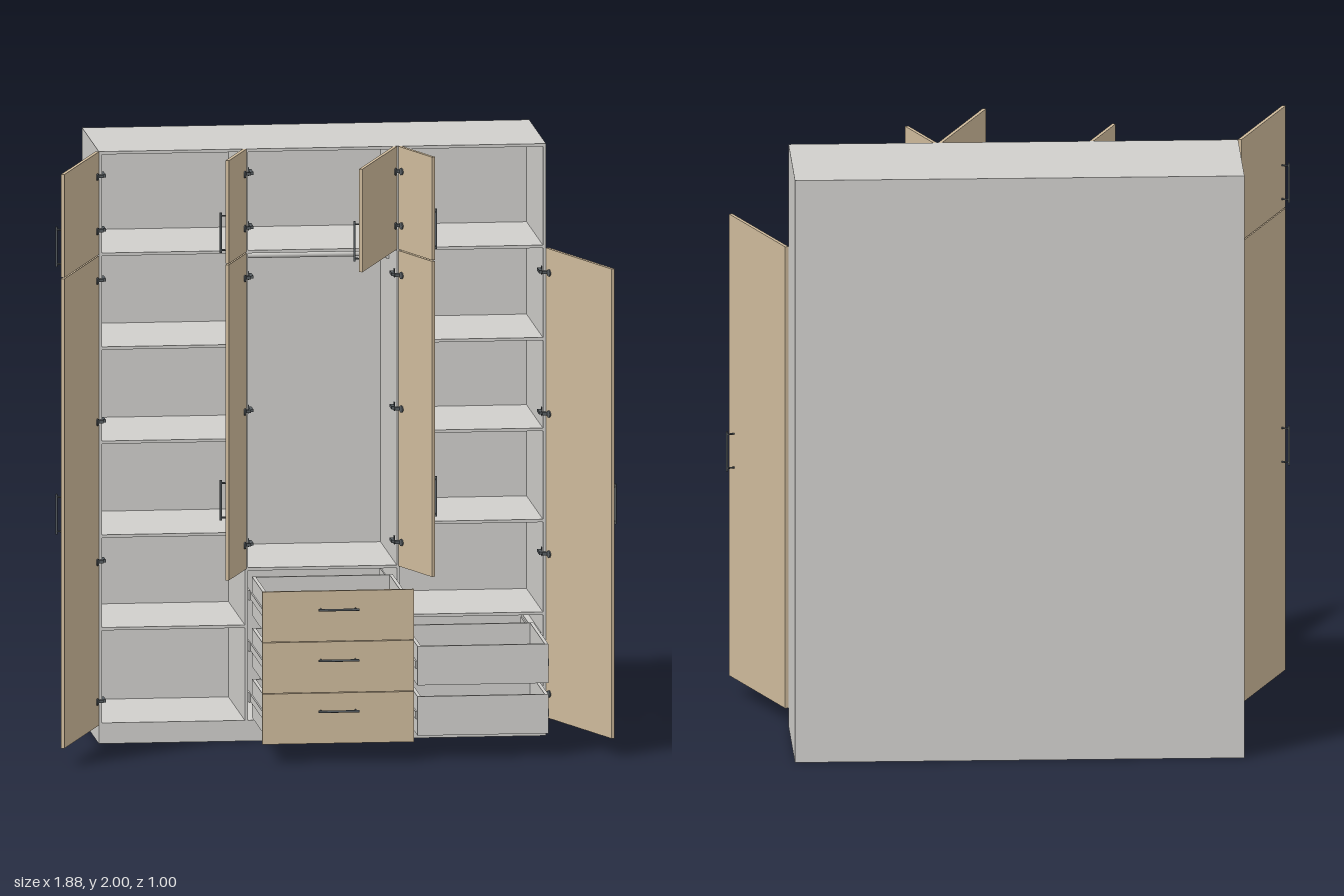
import * as THREE from 'three';

const mat = (name, color) => {
  const m = new THREE.MeshStandardMaterial({ color });
  m.name = name;
  return m;
};

export function createModel() {
  const root = new THREE.Group();
  root.name = 'wardrobe';
  const gray = mat('gray board', 0xd0cfcc);
  const wood = mat('tan wood', 0xcfbb9c);
  const metal = mat('dark metal', 0x565c60);
  const T = 0.01;

  const group = (name, parent = root) => {
    const g = new THREE.Group();
    g.name = name;
    parent.add(g);
    return g;
  };
  // Box given by its minimum and maximum on each axis
  const box = (parent, name, m, x0, x1, y0, y1, z0, z1) => {
    const mesh = new THREE.Mesh(new THREE.BoxGeometry(x1 - x0, y1 - y0, z1 - z0), m);
    mesh.position.set((x0 + x1) / 2, (y0 + y1) / 2, (z0 + z1) / 2);
    mesh.name = name;
    parent.add(mesh);
    return mesh;
  };
  // Bar handle on two posts, upright along y, standing off along +z
  const handle = (parent, x, y, z) => {
    const h = group('handle', parent);
    const bar = new THREE.Mesh(new THREE.CylinderGeometry(0.004, 0.004, 0.136, 12), metal);
    bar.name = 'handleBar';
    bar.position.z = 0.026;
    h.add(bar);
    for (const s of [-1, 1]) {
      const post = new THREE.Mesh(new THREE.CylinderGeometry(0.003, 0.003, 0.026, 10), metal);
      post.name = 'handlePost';
      post.rotation.x = Math.PI / 2;
      post.position.set(0, s * 0.058, 0.013);
      h.add(post);
    }
    h.position.set(x, y, z);
    return h;
  };

  // Carcass
  const carcass = group('carcass');
  for (const s of [-1, 1]) {
    box(carcass, 'sidePanel', gray, s * 0.745 - T / 2, s * 0.745 + T / 2, 0, 2, -0.5, 0);
    box(carcass, 'divider', gray, s * 0.255 - T / 2, s * 0.255 + T / 2, 0.07, 1.99, -0.49, 0);
  }
  box(carcass, 'topPanel', gray, -0.74, 0.74, 1.99, 2, -0.5, 0);
  box(carcass, 'bottomPanel', gray, -0.74, 0.74, 0.06, 0.07, -0.5, 0);
  box(carcass, 'backPanel', gray, -0.74, 0.74, 0.07, 1.99, -0.5, -0.49);
  box(carcass, 'frontPlinth', gray, -0.74, 0.74, 0, 0.06, -T, 0);
  box(carcass, 'backPlinth', gray, -0.74, 0.74, 0, 0.06, -0.5, -0.49);

  // Shelves in the three bays
  const bays = [
    [-0.74, -0.26, [0.387, 0.7, 1.017, 1.335, 1.652]],
    [-0.25, 0.25, [0.58, 1.652]],
    [0.26, 0.74, [0.413, 0.726, 1.034, 1.34, 1.652]],
  ];
  for (const [x0, x1, ys] of bays)
    for (const y of ys) box(carcass, 'shelf', gray, x0, x1, y - T / 2, y + T / 2, -0.49, -0.002);

  // Hanging rail with end brackets
  const rail = new THREE.Mesh(new THREE.CylinderGeometry(0.01, 0.01, 0.5, 20), gray);
  rail.name = 'hangingRail';
  rail.rotation.z = Math.PI / 2;
  rail.position.set(0, 1.6, -0.25);
  root.add(rail);
  for (const s of [-1, 1])
    box(root, 'railBracket', gray, s * 0.245 - 0.005, s * 0.245 + 0.005, 1.583, 1.617, -0.267, -0.233);

  // Doors swung open 110 degrees; dir is +1 when the hinge is on the -x edge
  const D = 0.012;
  const door = (hx, dir, w, y0, y1, handleY, hinges) => {
    const g = group('door');
    g.position.set(hx, 0, 0.002);
    g.rotation.y = (-dir * 110 * Math.PI) / 180;
    box(g, 'doorPanel', wood, Math.min(0, dir * w), Math.max(0, dir * w), y0, y1, 0, D);
    handle(g, dir * (w - 0.045), handleY, D);
    const inner = hx + dir * T;
    for (const y of hinges) {
      const cup = new THREE.Mesh(new THREE.CylinderGeometry(0.012, 0.012, 0.004, 16), metal);
      cup.name = 'hingeCup';
      cup.rotation.x = Math.PI / 2;
      cup.position.set(dir * 0.025, y, -0.002);
      g.add(cup);
      const h = group('hinge');
      box(h, 'hingePlate', metal, inner - 0.002, inner + 0.002, y - 0.014, y + 0.014, -0.045, -0.025);
      const ax = inner + dir * 0.007;
      box(h, 'hingeArm', metal, ax - 0.006, ax + 0.006, y - 0.005, y + 0.005, -0.055, 0.004);
      const kx = hx + dir * 0.006;
      box(h, 'hingeKnuckle', metal, kx - 0.008, kx + 0.008, y - 0.005, y + 0.005, 0.002, 0.018);
    }
  };
  const lowY = [0.145, 0.617, 1.09, 1.567];
  const midY = [0.665, 1.116, 1.567];
  const topY = [1.735, 1.918];
  door(-0.75, 1, 0.49, 0.062, 1.648, 0.845, lowY);
  door(0.75, -1, 0.49, 0.062, 1.648, 0.845, lowY);
  door(-0.75, 1, 0.49, 1.652, 2, 1.748, topY);
  door(0.25, 1, 0.49, 1.652, 2, 1.748, topY);
  for (const s of [-1, 1]) {
    door(s * 0.255, -s, 0.25, 0.582, 1.648, 0.845, midY);
    door(s * 0.255, -s, 0.25, 1.652, 2, 1.748, topY);
  }

  // Open drawer tray with a slide on each side
  const drawer = (name, x0, x1, y0, y1, z0, z1) => {
    const g = group(name);
    const w = 0.012;
    box(g, 'drawerSide', gray, x0, x0 + w, y0, y1, z0, z1);
    box(g, 'drawerSide', gray, x1 - w, x1, y0, y1, z0, z1);
    box(g, 'drawerBack', gray, x0 + w, x1 - w, y0, y1, z0, z0 + w);
    box(g, 'drawerFrontWall', gray, x0 + w, x1 - w, y0, y1, z1 - w, z1);
    box(g, 'drawerBase', gray, x0 + w, x1 - w, y0 + 0.004, y0 + 0.012, z0 + w, z1 - w);
    const ym = (y0 + y1) / 2;
    for (const [a, b] of [[x0 - 0.005, x0], [x1, x1 + 0.005]])
      box(g, 'drawerSlide', gray, a, b, ym - 0.012, ym + 0.012, z0, z1 - 0.02);
    for (const [a, b] of [[x0 - 0.01, x0 - 0.005], [x1 + 0.005, x1 + 0.01]])
      box(g, 'cabinetSlide', gray, a, b, ym - 0.017, ym + 0.017, -0.45, -0.005);
    return g;
  };

  // Middle bay: three drawers with wooden fronts
  const edges = [0.063, 0.235, 0.408, 0.58];
  for (let i = 0; i < 3; i++) {
    const y0 = edges[i], y1 = edges[i + 1];
    const g = drawer('frontedDrawer', -0.236, 0.236, y0 + 0.017, y0 + 0.147, 0.002, 0.456);
    box(g, 'drawerFront', wood, -0.254, 0.254, y0 + 0.001, y1 - 0.001, 0.456, 0.469);
    handle(g, 0, [0.175, 0.347, 0.518][i], 0.469).rotation.z = Math.PI / 2;
  }

  // Right bay: two inner drawers, spaced clear of the door hinges
  for (const y of [0.078, 0.248]) {
    drawer('innerDrawer', 0.271, 0.71, y, y + 0.132, -0.022, 0.43);
    box(root, 'slideSpacer', gray, 0.72, 0.74, y + 0.04, y + 0.092, -0.46, -0.06);
  }
  return root;
}
